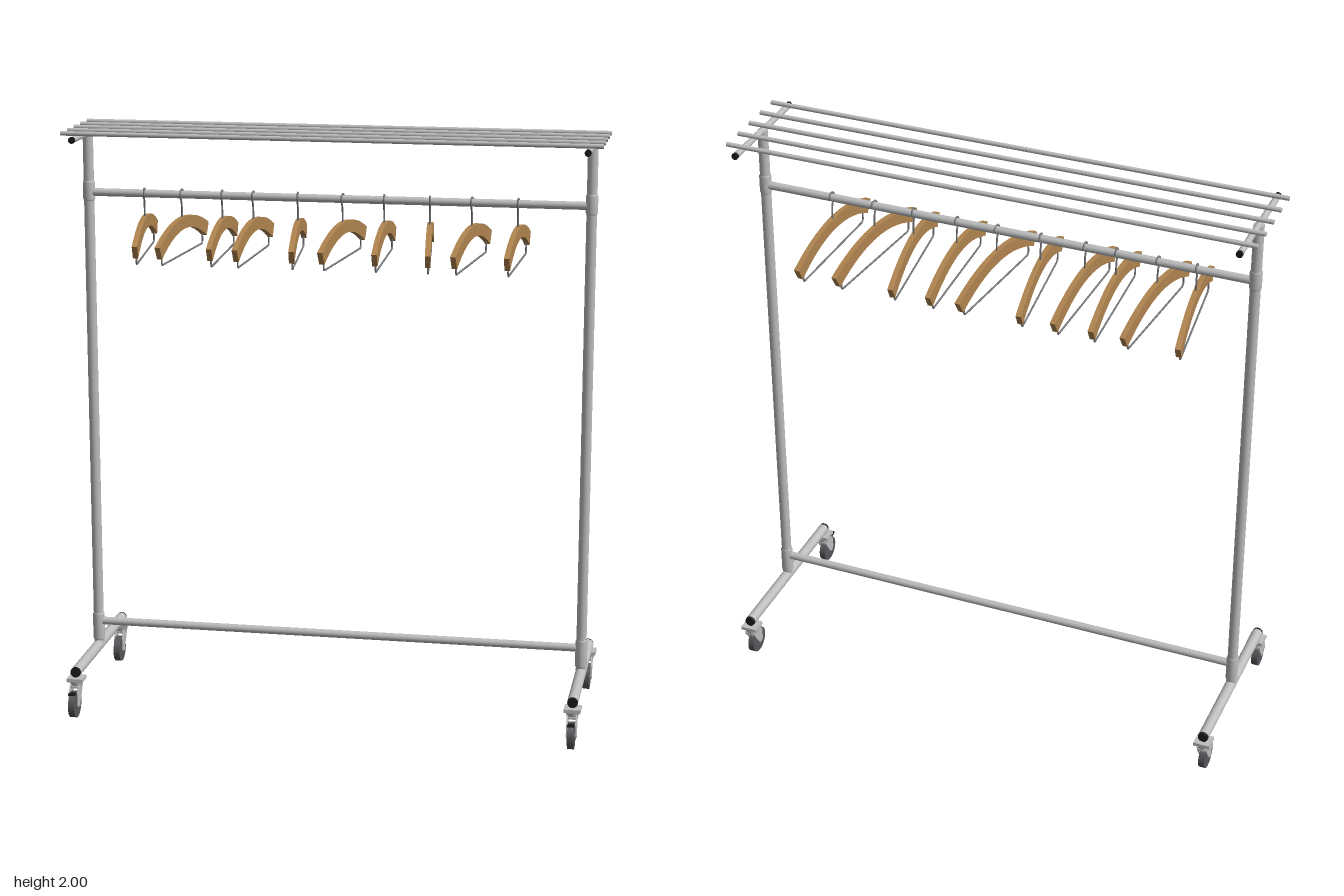
import * as THREE from 'three';

const mat = (name, color, side = THREE.FrontSide) => {
  const m = new THREE.MeshStandardMaterial({ color, side });
  m.name = name;
  return m;
};

export function createModel() {
  const steel = mat('steel', 0xbcbdbe);
  const rubber = mat('darkRubber', 0x55575a);
  const black = mat('blackPlastic', 0x1c1c1e);
  const wood = mat('wood', 0xb0844f);
  const wire = mat('hangerWire', 0x77787b);

  const model = new THREE.Group();
  model.name = 'clothesRack';
  const Z0 = -0.024; // plane of the posts
  const POST_X = 0.855;

  const add = (parent, name, geometry, material, x = 0, y = 0, z = 0) => {
    const mesh = new THREE.Mesh(geometry, material);
    mesh.name = name;
    mesh.position.set(x, y, z);
    parent.add(mesh);
    return mesh;
  };
  // Cylinder along one axis, centred on the given point
  const tube = (parent, name, axis, r, length, material, x, y, z, sides = 20) => {
    const g = new THREE.CylinderGeometry(r, r, length, sides);
    if (axis === 'x') g.rotateZ(Math.PI / 2);
    if (axis === 'z') g.rotateX(Math.PI / 2);
    return add(parent, name, g, material, x, y, z);
  };

  // Cross bars
  tube(model, 'hangingBar', 'x', 0.0135, POST_X * 2, steel, 0, 1.772, Z0);
  tube(model, 'lowerBar', 'x', 0.0135, POST_X * 2, steel, 0, 0.241, Z0);

  // Shelf rods
  for (let i = -2; i <= 2; i++) {
    tube(model, 'shelfRod', 'x', 0.0078, 1.804, steel, 0, 1.992, Z0 + i * 0.082, 14);
  }

  // Post sleeve with tapered ends
  const sleeveProfile = (h) => [
    [0.0175, -h], [0.0205, -h + 0.006], [0.0205, h - 0.006], [0.0175, h],
  ].map(([x, y]) => new THREE.Vector2(x, y));

  // Swivel caster; the wheel trails toward +z
  const forkShape = new THREE.Shape([
    [-0.022, 0.112], [0.024, 0.112], [0.046, 0.085], [0.046, 0.045],
    [0.036, 0.036], [0.024, 0.038], [-0.002, 0.075],
  ].map(([z, y]) => new THREE.Vector2(z, y)));
  const makeCaster = (braked) => {
    const c = new THREE.Group();
    c.name = braked ? 'brakedCaster' : 'caster';
    add(c, 'mountPlate', new THREE.BoxGeometry(0.056, 0.012, 0.056), steel, 0, 0.128, 0);
    add(c, 'swivelHead', new THREE.CylinderGeometry(0.025, 0.019, 0.022, 20), steel, 0, 0.112, 0);
    for (const s of [-1, 1]) {
      const g = new THREE.ExtrudeGeometry(forkShape, { depth: 0.004, bevelEnabled: false });
      g.translate(0, 0, -0.002);
      g.rotateY(-Math.PI / 2);
      add(c, 'forkPlate', g, steel, s * 0.015, 0, 0);
    }
    add(c, 'forkBridge', new THREE.BoxGeometry(0.03, 0.008, 0.046), steel, 0, 0.103, 0.001);
    tube(c, 'wheel', 'x', 0.046, 0.022, rubber, 0, 0.046, 0.03, 28);
    tube(c, 'axle', 'x', 0.007, 0.037, steel, 0, 0.046, 0.03, 12);
    if (braked) {
      const lever = add(c, 'brakeLever', new THREE.BoxGeometry(0.022, 0.007, 0.036), black, 0, 0.09, 0.055);
      lever.rotation.x = -0.15;
    }
    return c;
  };

  // End frames, left and right
  for (const s of [-1, 1]) {
    const frame = new THREE.Group();
    frame.name = s > 0 ? 'leftFrame' : 'rightFrame';
    frame.position.x = s * POST_X;
    model.add(frame);
    tube(frame, 'post', 'y', 0.0175, 1.82, steel, 0, 1.065, Z0);
    for (const [y, h] of [[1.777, 0.034], [0.222, 0.05]]) {
      add(frame, 'postSleeve', new THREE.LatheGeometry(sleeveProfile(h), 20), steel, 0, y, Z0);
    }
    tube(frame, 'footTube', 'z', 0.0185, 0.61, steel, 0, 0.153, Z0);
    tube(frame, 'shelfSupport', 'z', 0.0105, 0.396, steel, 0, 1.974, Z0, 16);
    for (const e of [-1, 1]) {
      tube(frame, 'footCap', 'z', 0.0175, 0.012, black, 0, 0.153, Z0 + e * 0.308);
      tube(frame, 'supportCap', 'z', 0.0112, 0.01, black, 0, 1.974, Z0 + e * 0.199, 16);
      const caster = makeCaster(e > 0);
      caster.position.z = Z0 + e * 0.301;
      frame.add(caster);
    }
  }

  // Curved wooden hanger body
  const body = new THREE.Shape();
  body.moveTo(-0.27, 1.635);
  body.quadraticCurveTo(0, 1.755, 0.27, 1.635);
  body.lineTo(0.245, 1.592);
  body.quadraticCurveTo(0, 1.718, -0.245, 1.592);
  body.closePath();
  const bodyGeo = new THREE.ExtrudeGeometry(body, { depth: 0.018, bevelEnabled: false, curveSegments: 20 });
  bodyGeo.translate(0, 0, -0.009);
  bodyGeo.rotateY(-Math.PI / 2);

  // Trouser bar: a wire bent down from both arms
  const v = (y, z) => new THREE.Vector3(0, y, z);
  const barPath = new THREE.CurvePath();
  const corners = [v(1.62, -0.222), v(1.575, -0.224), v(1.568, -0.217),
    v(1.568, 0.217), v(1.575, 0.224), v(1.62, 0.222)];
  for (let i = 0; i < corners.length - 1; i++) {
    barPath.add(new THREE.LineCurve3(corners[i], corners[i + 1]));
  }
  const barGeo = new THREE.TubeGeometry(barPath, 90, 0.0032, 8);

  // Hook: a stem rising into an arc over the hanging bar
  const hookPoints = [v(1.68, 0), v(1.72, 0), v(1.742, 0.003)];
  for (let i = 0; i <= 8; i++) {
    const a = -0.9 + (i / 8) * 4.1;
    hookPoints.push(v(1.772 + Math.sin(a) * 0.0175, Math.cos(a) * 0.0175));
  }
  const hookGeo = new THREE.TubeGeometry(new THREE.CatmullRomCurve3(hookPoints), 48, 0.0032, 8);

  // Hangers: position along the bar, sideways swing of the front end
  const hangers = [
    [-0.661, 0.063], [-0.531, -0.042], [-0.391, 0.026], [-0.284, -0.015], [-0.131, 0.058],
    [0.022, -0.057], [0.163, 0.02], [0.317, 0.064], [0.458, -0.053], [0.612, -0.012],
  ];
  for (const [x, swing] of hangers) {
    const hanger = new THREE.Group();
    hanger.name = 'hanger';
    hanger.position.set(x, 0, Z0);
    hanger.rotation.y = Math.atan(swing / 0.535);
    add(hanger, 'hangerBody', bodyGeo, wood);
    add(hanger, 'trouserBar', barGeo, wire);
    add(hanger, 'hook', hookGeo, wire);
    model.add(hanger);
  }

  return model;
}
